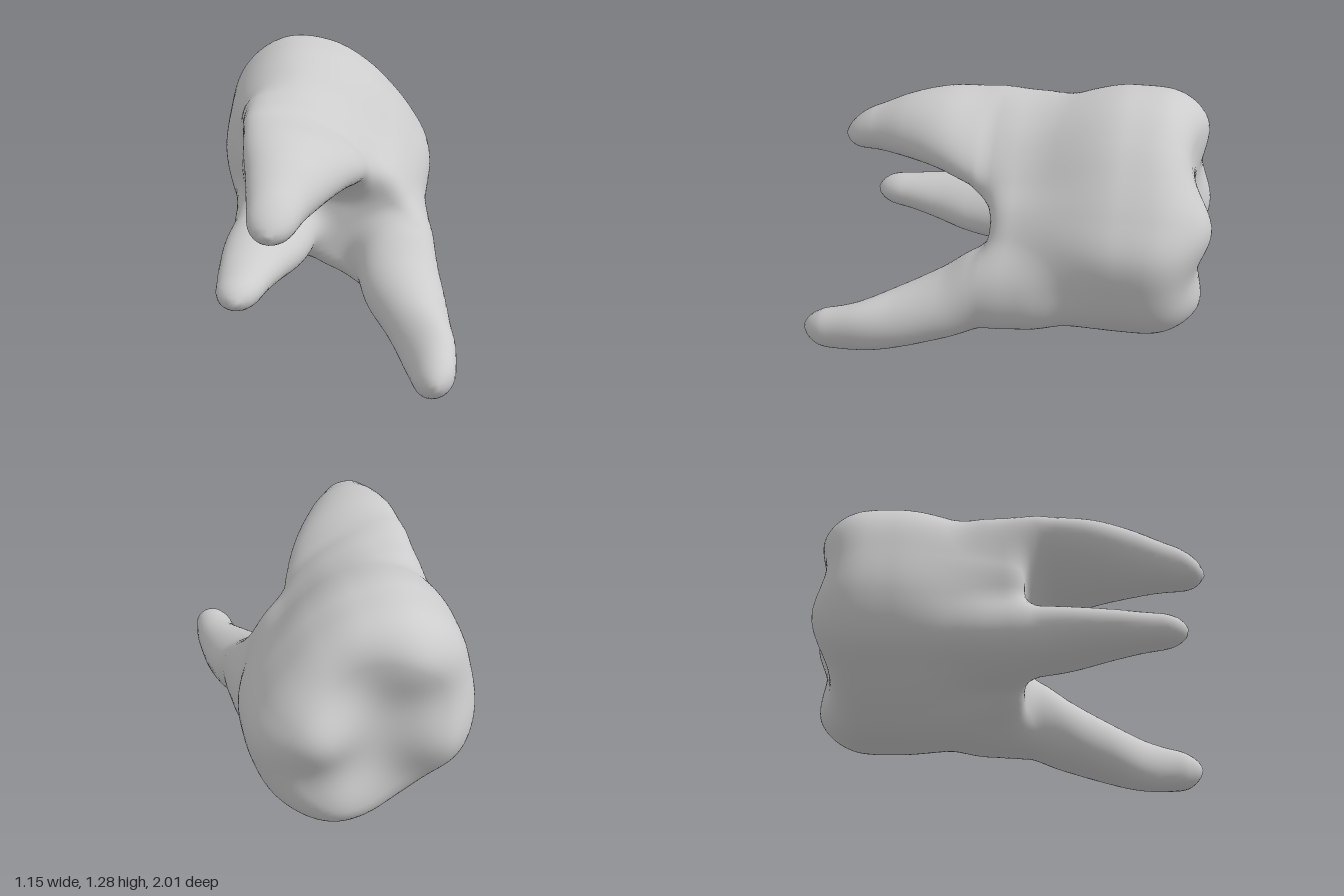
import * as THREE from 'three';

// Outline radii every 22.5 degrees around the tooth axis: full crown and narrow neck
const AXIS = [-0.02, 0.66];
const CROWN = [.54, .49, .48, .52, .59, .65, .64, .58, .56, .54, .50, .51, .56, .59, .58, .55];
const NECK = [.40, .34, .30, .32, .40, .50, .54, .48, .43, .48, .41, .36, .41, .52, .62, .52];

// Chewing surface bumps: x, y, height towards the back
const CUSPS = [[-.25, 1.06, .08], [.22, .72, .14], [-.38, .6, .1], [.12, .3, .1]];

// Root cross-sections: z, centre x, centre y, half width, half height, tilt in degrees
const ROOTS = {
  upperRoot: [[-.2, -.14, .92, .34, .17, -32], [.1, -.14, .945, .35, .16, -30], [.2, -.15, .98, .32, .14, -25],
    [.4, -.19, .995, .265, .145, -22], [.6, -.235, .97, .195, .138, -20], [.8, -.285, .918, .13, .108, -10],
    [.96, -.31, .87, .105, .08, 0]],
  sideRoot: [[-.2, -.27, .52, .2, .16, -10], [.1, -.3, .51, .21, .155, -10], [.3, -.35, .5, .2, .13, -10],
    [.5, -.41, .495, .155, .105, -8], [.7, -.455, .488, .115, .085, 0], [.85, -.475, .48, .095, .075, 0]],
  lowerRoot: [[-.2, .27, .37, .22, .2, 60], [.1, .3, .35, .225, .2, 60], [.3, .335, .26, .18, .2, 80],
    [.5, .39, .192, .155, .165, 70], [.7, .437, .138, .15, .118, 58], [.9, .452, .115, .115, .095, 58],
    [1, .45, .115, .095, .085, 58]],
};

// Smooth union and smooth intersection of two fields
const smin = (a, b, k) => Math.min(a, b) - Math.max(k - Math.abs(a - b), 0) ** 2 / (4 * k);
const smax = (a, b, k) => -smin(-a, -b, k);

// Smooth curve from b to c with neighbours a and d
const spline = (a, b, c, d, f) =>
  b + 0.5 * f * (c - a + f * (2 * a - 5 * b + 4 * c - d + f * (3 * (b - c) + d - a)));

// Smooth periodic radius at an angle
function radius(table, angle) {
  const n = table.length, t = (angle / (2 * Math.PI) + 1) * n, i = Math.floor(t);
  return spline(...[-1, 0, 1, 2].map((o) => table[(i + o + n) % n]), t - i);
}

// Crown and neck: a tapering outline closed by the cusped chewing surface
function bodyField(x, y, z) {
  const dx = x - AXIS[0], dy = y - AXIS[1], angle = Math.atan2(dy, dx);
  const t = THREE.MathUtils.smoothstep(z, -0.57, 0.06);
  const taper = 1 - 0.09 * THREE.MathUtils.clamp((-z - 0.65) / 0.3, 0, 1) ** 2;
  const r = THREE.MathUtils.lerp(radius(CROWN, angle), radius(NECK, angle), t) * taper;
  let back = -0.87;
  for (const [cx, cy, h] of CUSPS) back -= h * Math.exp(-((x - cx) ** 2 + (y - cy) ** 2) / 0.045);
  const side = Math.hypot(dx, dy) - r;
  return smax(smax(side, (back - z) * 0.8, 0.14), z - 0.065, 0.11);
}

// Root: elliptical sections joined smoothly along z, with a rounded tip
function rootField(stations, x, y, z) {
  const last = stations.length - 1;
  let i = 0;
  while (i < last - 1 && z > stations[i + 1][0]) i++;
  const p = stations[i], q = stations[i + 1];
  const before = stations[Math.max(i - 1, 0)], after = stations[Math.min(i + 2, last)];
  const f = THREE.MathUtils.clamp((z - p[0]) / (q[0] - p[0]), 0, 1);
  const [, cx, cy, a, b, tilt] = p.map((v, k) => spline(before[k], v, q[k], after[k], f));
  const c = Math.cos(tilt * Math.PI / 180), s = Math.sin(tilt * Math.PI / 180);
  const u = (x - cx) * c + (y - cy) * s, v = (y - cy) * c - (x - cx) * s;
  const side = (Math.hypot(u / a, v / b) - 1) * Math.min(a, b);
  return smax(smax(side, z - stations[last][0] - 0.01, 0.15), -0.25 - z, 0.15);
}

function field(x, y, z) {
  let roots = Infinity;
  for (const s of Object.values(ROOTS)) {
    const d = rootField(s, x, y, z);
    roots = roots === Infinity ? d : smin(roots, d, 0.06);
  }
  return smin(bodyField(x, y, z), roots, 0.09);
}

function gradient(x, y, z) {
  const e = 0.008;
  return new THREE.Vector3(field(x + e, y, z) - field(x - e, y, z),
    field(x, y + e, z) - field(x, y - e, z), field(x, y, z + e) - field(x, y, z - e)).divideScalar(2 * e);
}

// Which named part a surface point belongs to
function partAt(x, y, z) {
  if (z < -0.3) return 'crown';
  if (z < 0.08) return 'neck';
  return Object.keys(ROOTS).reduce((m, k) =>
    (rootField(ROOTS[k], x, y, z) < rootField(ROOTS[m], x, y, z) ? k : m));
}

// Wrap one continuous skin around the field on a regular grid
function buildSkin() {
  const step = 0.025, min = [-0.7, -0.1, -1.1], n = [56, 58, 88];
  const stride = [1, n[0], n[0] * n[1]];
  const at = (i, j, k) => i + j * stride[1] + k * stride[2];
  const values = new Float32Array(n[0] * n[1] * n[2]);
  for (let k = 0; k < n[2]; k++) for (let j = 0; j < n[1]; j++) for (let i = 0; i < n[0]; i++)
    values[at(i, j, k)] = field(min[0] + i * step, min[1] + j * step, min[2] + k * step);

  const cells = new Int32Array(values.length).fill(-1), positions = [], normals = [], parts = {};
  for (let k = 0; k < n[2] - 1; k++) for (let j = 0; j < n[1] - 1; j++) for (let i = 0; i < n[0] - 1; i++) {
    // One point per crossed cell, at the mean of its edge crossings
    const sum = new THREE.Vector3();
    let count = 0;
    for (let c = 0; c < 8; c++) for (let d = 0; d < 3; d++) {
      if (c >> d & 1) continue;
      const o = [c & 1, c >> 1 & 1, c >> 2];
      const id = at(i + o[0], j + o[1], k + o[2]), a = values[id], b = values[id + stride[d]];
      if ((a < 0) === (b < 0)) continue;
      o[d] += a / (a - b);
      sum.add(new THREE.Vector3(...o));
      count++;
    }
    if (!count) continue;
    const p = sum.divideScalar(count).add(new THREE.Vector3(i, j, k)).multiplyScalar(step).add(new THREE.Vector3(...min));
    const g = gradient(p.x, p.y, p.z);
    const shift = -field(p.x, p.y, p.z) / Math.max(g.lengthSq(), 0.25);
    p.addScaledVector(g, THREE.MathUtils.clamp(shift, -0.01, 0.01));
    cells[at(i, j, k)] = positions.length / 3;
    positions.push(p.x, p.y, p.z);
    normals.push(...gradient(p.x, p.y, p.z).normalize().toArray());
  }

  // One quad across every crossed grid edge
  for (let k = 1; k < n[2] - 1; k++) for (let j = 1; j < n[1] - 1; j++) for (let i = 1; i < n[0] - 1; i++) {
    const id = at(i, j, k);
    for (let d = 0; d < 3; d++) {
      const inside = values[id] < 0;
      if (inside === (values[id + stride[d]] < 0)) continue;
      const u = stride[(d + 1) % 3], v = stride[(d + 2) % 3];
      const q = [id - u - v, id - v, id, id - u].map((c) => cells[c]);
      if (!inside) q.reverse();
      const name = partAt(...positions.slice(q[0] * 3, q[0] * 3 + 3));
      (parts[name] ??= []).push(q[0], q[1], q[2], q[0], q[2], q[3]);
    }
  }
  return { positions, normals, parts };
}

export function createModel() {
  const group = new THREE.Group();
  group.name = 'molarTooth';
  const enamel = new THREE.MeshStandardMaterial({ color: 0xcccccc });
  enamel.name = 'paleGrey';

  const { positions, normals, parts } = buildSkin();
  const position = new THREE.Float32BufferAttribute(positions, 3);
  const normal = new THREE.Float32BufferAttribute(normals, 3);

  // Centre the tooth and stand it on the ground
  const box = new THREE.Box3().setFromBufferAttribute(position);
  const mid = box.getCenter(new THREE.Vector3());
  position.applyMatrix4(new THREE.Matrix4().makeTranslation(-mid.x, -box.min.y, -mid.z));

  for (const [name, index] of Object.entries(parts)) {
    const geometry = new THREE.BufferGeometry();
    geometry.setAttribute('position', position);
    geometry.setAttribute('normal', normal);
    geometry.setIndex(index);
    const mesh = new THREE.Mesh(geometry, enamel);
    mesh.name = name;
    group.add(mesh);
  }
  return group;
}
